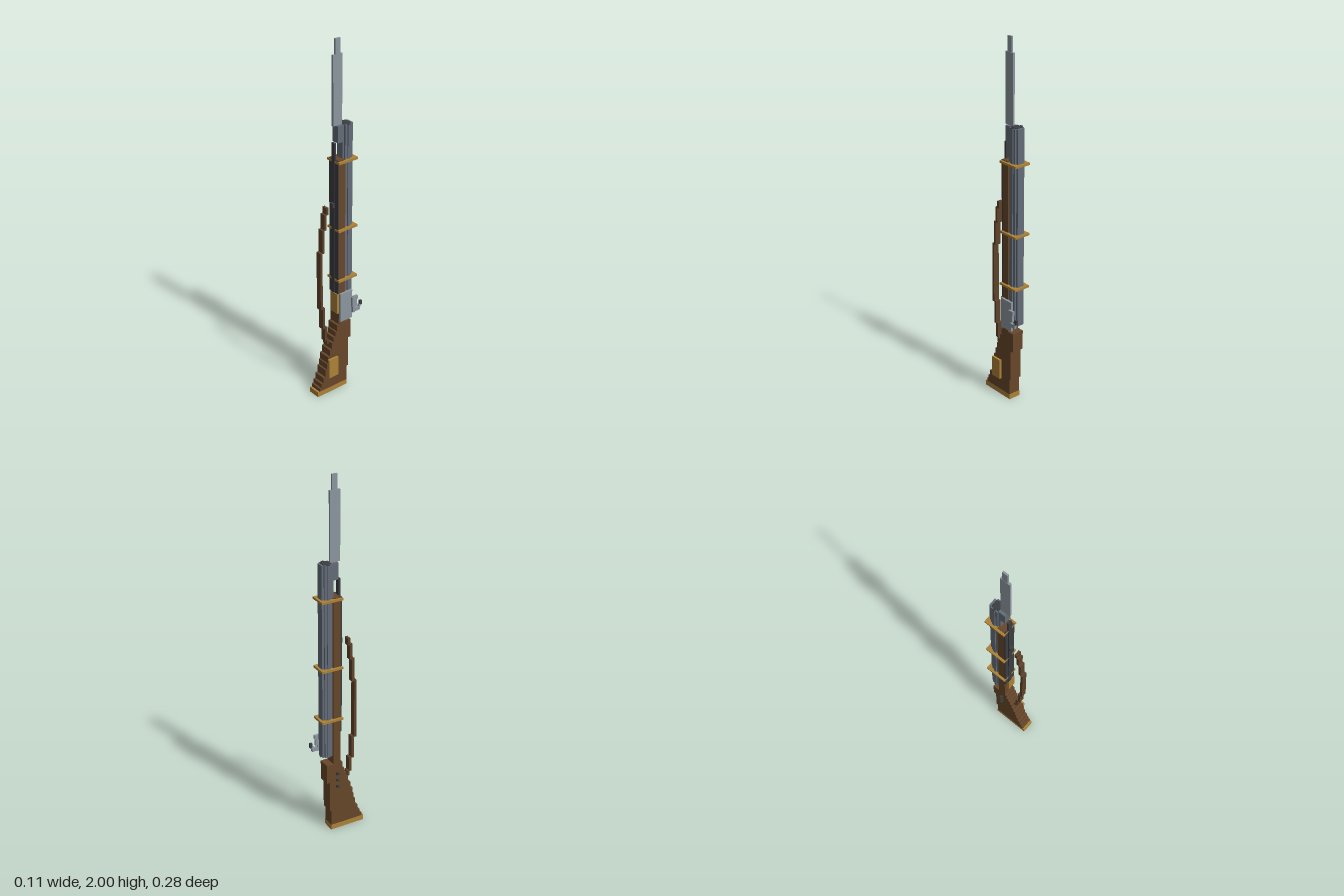
import * as THREE from 'three';

const mat = (name, color) => Object.assign(new THREE.MeshStandardMaterial({ color }), { name });

export function createModel() {
  const wood = mat('walnut', 0x67472a);
  const brass = mat('brass', 0xac8238);
  const barrelSteel = mat('blued steel', 0x636c78);
  const steel = mat('bright steel', 0x8d969f);
  const iron = mat('dark iron', 0x3c3d41);
  const leather = mat('leather', 0x5e4229);

  const root = new THREE.Group();
  const part = (name) => {
    const g = new THREE.Group();
    g.name = name;
    root.add(g);
    return g;
  };
  // Box given by its limits on each axis
  const box = (parent, name, material, [x0, x1], [y0, y1], [z0, z1]) => {
    const m = new THREE.Mesh(new THREE.BoxGeometry(x1 - x0, y1 - y0, z1 - z0), material);
    m.position.set((x0 + x1) / 2, (y0 + y1) / 2, (z0 + z1) / 2);
    m.name = name;
    parent.add(m);
  };
  const full = [-0.042, 0.027];
  const mid = [-0.029, 0.0125];

  // Butt: stepped side profile pushed across the width
  const butt = part('butt');
  const front = [[0.03, 0.13], [0.05, 0.118], [0.075, 0.105], [0.11, 0.09], [0.155, 0.08], [0.19, 0.072],
    [0.23, 0.058], [0.27, 0.045], [0.31, 0.033], [0.34, 0.02], [0.37, 0.01], [0.41, 0]];
  const back = [[0.41, -0.085], [0.3, -0.068], [0.12, -0.058]];
  const profile = [];
  front.forEach(([y, z], i) => {
    if (i) profile.push([front[i - 1][1], y]);
    profile.push([z, y]);
  });
  back.forEach(([y, z], i) => profile.push([z, y], [z, i < 2 ? back[i + 1][0] : 0.03]));
  const shape = new THREE.Shape(profile.map(([z, y]) => new THREE.Vector2(-z, y)));
  const buttGeo = new THREE.ExtrudeGeometry(shape, { depth: full[1] - full[0], bevelEnabled: false });
  buttGeo.rotateY(Math.PI / 2).translate(full[0], 0, 0);
  const buttMesh = new THREE.Mesh(buttGeo, wood);
  buttMesh.name = 'buttStock';
  butt.add(buttMesh);
  box(butt, 'buttPlate', brass, full, [0, 0.03], [-0.06, 0.142]);
  box(butt, 'patchBox', brass, [0.027, 0.04], [0.1, 0.215], [0.01, 0.073]);
  [0.27, 0.31, 0.35].forEach((y) =>
    box(butt, 'sideStud', iron, [-0.057, -0.042], [y - 0.006, y + 0.006], [-0.03, -0.015]));

  // Wrist and fore-end
  const foreEnd = part('foreEnd');
  box(foreEnd, 'wrist', wood, full, [0.41, 0.6], [-0.045, -0.003]);
  box(foreEnd, 'foreStock', wood, full, [0.6, 1.37], [-0.045, -0.004]);
  box(foreEnd, 'foreStockFace', iron, full, [0.6, 1.37], [-0.004, 0.004]);
  box(foreEnd, 'ramrod', iron, [-0.02, 0.004], [0.6, 1.46], [-0.003, 0.008]);
  box(foreEnd, 'triggerGuard', brass, [-0.022, 0.028], [0.48, 0.6], [-0.01, 0.009]);

  // Barrel: crossed slabs making a rounded section
  const barrel = part('barrel');
  const length = [0.46, 1.55];
  box(barrel, 'barrelWide', barrelSteel, full, length, [-0.078, -0.0625]);
  box(barrel, 'barrelMiddle', barrelSteel, [-0.036, 0.021], length, [-0.092, -0.048]);
  box(barrel, 'barrelDeep', barrelSteel, mid, length, [-0.104, -0.036]);
  box(barrel, 'muzzleBar', iron, full, [1.55, 1.552], [-0.078, -0.0625]);
  box(barrel, 'muzzleCore', iron, mid, [1.55, 1.553], [-0.092, -0.048]);

  // Barrel bands
  [0.68, 0.977, 1.36].forEach((y) =>
    box(root, 'barrelBand', brass, [-0.055, 0.04], [y - 0.006, y + 0.006], [-0.117, 0.006]));

  // Bayonet
  const bayonet = part('bayonet');
  box(bayonet, 'socket', barrelSteel, mid, [1.46, 1.55], [-0.045, -0.008]);
  box(bayonet, 'blade', steel, [-0.014, -0.002], [1.55, 1.92], [-0.047, 0.01]);
  box(bayonet, 'bladeTip', steel, [-0.013, -0.003], [1.92, 2], [-0.035, -0.005]);

  // Lock and hammer
  const lock = part('lock');
  box(lock, 'lockPlate', steel, [0.025, 0.04], [0.43, 0.6], [-0.085, -0.005]);
  box(lock, 'hammerBody', steel, [0.04, 0.053], [0.5, 0.56], [-0.108, -0.076]);
  box(lock, 'hammerNeck', steel, [0.04, 0.053], [0.465, 0.5], [-0.095, -0.08]);
  box(lock, 'hammerFoot', steel, [0.04, 0.053], [0.468, 0.49], [-0.128, -0.085]);
  box(lock, 'hammerJaw', steel, [0.04, 0.053], [0.54, 0.562], [-0.113, -0.085]);
  box(lock, 'hammerSpur', iron, [0.04, 0.053], [0.495, 0.52], [-0.142, -0.128]);
  box(lock, 'hammerSpurArm', steel, [0.04, 0.053], [0.485, 0.5], [-0.134, -0.122]);

  // Sling: stepped strap segments [bottom, top, z]
  const sling = part('sling');
  [[0.3, 0.33, 0.057], [0.325, 0.41, 0.068], [0.405, 0.535, 0.083], [0.53, 0.87, 0.097],
    [0.865, 1, 0.083], [0.995, 1.085, 0.07], [1.08, 1.12, 0.057]].forEach(([y0, y1, z]) =>
    box(sling, 'strap', leather, [-0.024, 0.008], [y0, y1], [z - 0.007, z + 0.007]));
  box(sling, 'swivel', iron, [-0.02, 0.004], [1.105, 1.13], [0.006, 0.02]);

  return root;
}
